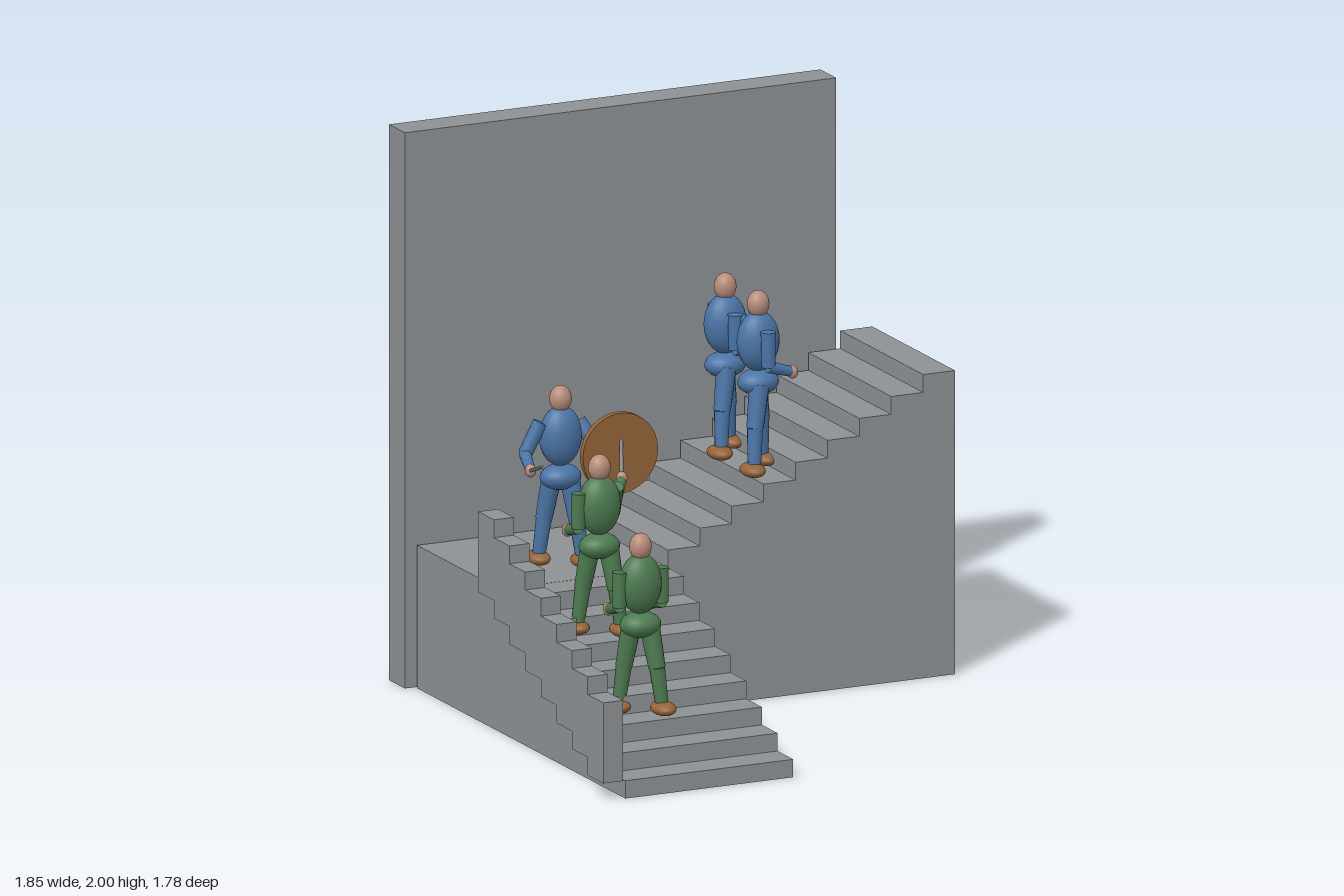
import * as THREE from 'three';

const mat = (name, color) => {
  const m = new THREE.MeshStandardMaterial({ color });
  m.name = name;
  return m;
};

export function createModel() {
  const stone = mat('stone', 0x8d9193);
  const blue = mat('blue cloth', 0x4a74a6);
  const green = mat('green cloth', 0x4d7a50);
  const skin = mat('skin', 0xb88c7a);
  const wood = mat('brown', 0x94643a);
  const steel = mat('steel', 0x7d8287);

  const root = new THREE.Group();
  root.name = 'staircaseScene';
  const V = (x, y, z) => new THREE.Vector3(x, y, z);

  // Box given by its limits on each axis
  const slab = (parent, name, x0, x1, y0, y1, z0, z1) => {
    const m = new THREE.Mesh(new THREE.BoxGeometry(x1 - x0, y1 - y0, z1 - z0), stone);
    m.position.set((x0 + x1) / 2, (y0 + y1) / 2, (z0 + z1) / 2);
    m.name = name;
    parent.add(m);
  };
  const ball = (parent, name, p, rx, ry, rz, material) => {
    const m = new THREE.Mesh(new THREE.SphereGeometry(1, 20, 14), material);
    m.scale.set(rx, ry, rz);
    m.position.copy(p);
    m.name = name;
    parent.add(m);
  };
  // Round rod from a to b
  const rod = (parent, name, a, b, ra, rb, material) => {
    const d = b.clone().sub(a);
    const m = new THREE.Mesh(new THREE.CylinderGeometry(rb, ra, d.length(), 14), material);
    m.position.copy(a).add(b).multiplyScalar(0.5);
    m.quaternion.setFromUnitVectors(V(0, 1, 0), d.normalize());
    m.name = name;
    parent.add(m);
  };

  // Masonry: back wall, two flights, landing and stepped parapet
  const rise = 0.0643, run = 0.1235;
  const landing = 8 * rise;
  slab(root, 'backWall', -0.88, 0.79, 0, 2, -0.895, -0.77);
  slab(root, 'landing', -0.84, -0.19, 0, landing, -0.755, -0.1);
  const lower = new THREE.Group(), upper = new THREE.Group(), parapet = new THREE.Group();
  lower.name = 'lowerFlight';
  upper.name = 'upperFlight';
  parapet.name = 'parapet';
  root.add(lower, upper, parapet);
  for (let i = 0; i < 8; i++) {
    const z1 = 0.89 - i * run, z0 = z1 - run;
    slab(lower, 'step', -0.84, -0.19, 0, (i + 1) * rise, z0, z1);
    slab(parapet, 'parapetBlock', -0.925, -0.848, (i + 1) * rise, (i + 1) * rise + 0.29, z0, z1);
  }
  for (let i = 0; i < 9; i++) {
    const x0 = -0.19 + i * run;
    slab(upper, 'step', x0, x0 + run, 0, landing + (i + 1) * rise, -0.755, -0.1);
  }

  // Figure with default walking pose; arms may be overridden as [shoulder, elbow, hand] in world space
  const figure = (name, x, y, z, yaw, cloth, arms = {}) => {
    const g = new THREE.Group();
    g.name = name;
    g.position.set(x, y, z);
    root.add(g);
    const P = (a, b, c) => V(a, b, c).applyAxisAngle(V(0, 1, 0), yaw);
    ball(g, 'head', V(0, 0.603, 0), 0.04, 0.048, 0.038, skin);
    ball(g, 'torso', V(0, 0.47, 0), 0.078, 0.108, 0.062, cloth);
    ball(g, 'pelvis', V(0, 0.323, 0), 0.075, 0.046, 0.062, cloth);
    for (const [side, s] of [['left', 1], ['right', -1]]) {
      const hip = P(s * 0.03, 0.32, s * 0.01);
      const knee = P(s * 0.047, 0.17, s * 0.035);
      const ankle = P(s * 0.062, 0.035, s * 0.045);
      rod(g, side + 'Thigh', hip, knee, 0.036, 0.03, cloth);
      rod(g, side + 'Shin', knee, ankle, 0.028, 0.023, cloth);
      ball(g, side + 'Shoe', P(s * 0.063, 0.026, s * 0.052), 0.042, 0.025, 0.06, wood);
      const custom = arms[side];
      const [shoulder, elbow, hand] = custom
        ? custom.map((p) => V(...p).sub(g.position))
        : [P(s * 0.08, 0.52, 0), P(s * 0.082, 0.395, 0), P(s * 0.077, 0.365, 0.095)];
      rod(g, side + 'UpperArm', shoulder, elbow, 0.027, 0.025, cloth);
      rod(g, side + 'Forearm', elbow, hand, 0.022, 0.018, cloth);
      ball(g, side + 'Hand', hand, 0.02, 0.024, 0.02, skin);
    }
  };

  figure('greenFollower', -0.61, 3 * rise, 0.54, Math.PI, green);
  figure('greenFighter', -0.59, 6 * rise, 0.175, Math.PI, green, {
    right: [[-0.52, 0.91, 0.165], [-0.5, 0.8, 0.1], [-0.415, 0.887, -0.005]],
  });
  figure('blueDefender', -0.515, landing, -0.285, 0, blue, {
    left: [[-0.445, 1.03, -0.285], [-0.4, 0.94, -0.23], [-0.38, 0.955, -0.13]],
    right: [[-0.59, 1.04, -0.29], [-0.645, 0.93, -0.3], [-0.685, 0.905, -0.175]],
  });
  figure('blueRearWalker', 0.24, 12 * rise, -0.525, Math.PI / 2, blue);
  figure('blueFrontWalker', 0.24, 12 * rise, -0.265, Math.PI / 2, blue, {
    left: [[0.235, 1.285, -0.325], [0.285, 1.275, -0.36], [0.25, 1.27, -0.485]],
  });

  // Shield and swords
  const shield = new THREE.Mesh(new THREE.CylinderGeometry(0.145, 0.145, 0.024, 36), wood);
  shield.rotation.x = Math.PI / 2;
  shield.position.set(-0.385, 0.955, -0.088);
  shield.name = 'shield';
  root.add(shield);
  rod(root, 'defenderSword', V(-0.68, 0.9, -0.19), V(-0.79, 1.005, 0.135), 0.007, 0.005, steel);
  rod(root, 'fighterSword', V(-0.42, 0.875, 0.005), V(-0.378, 1.01, -0.085), 0.007, 0.006, steel);

  return root;
}
